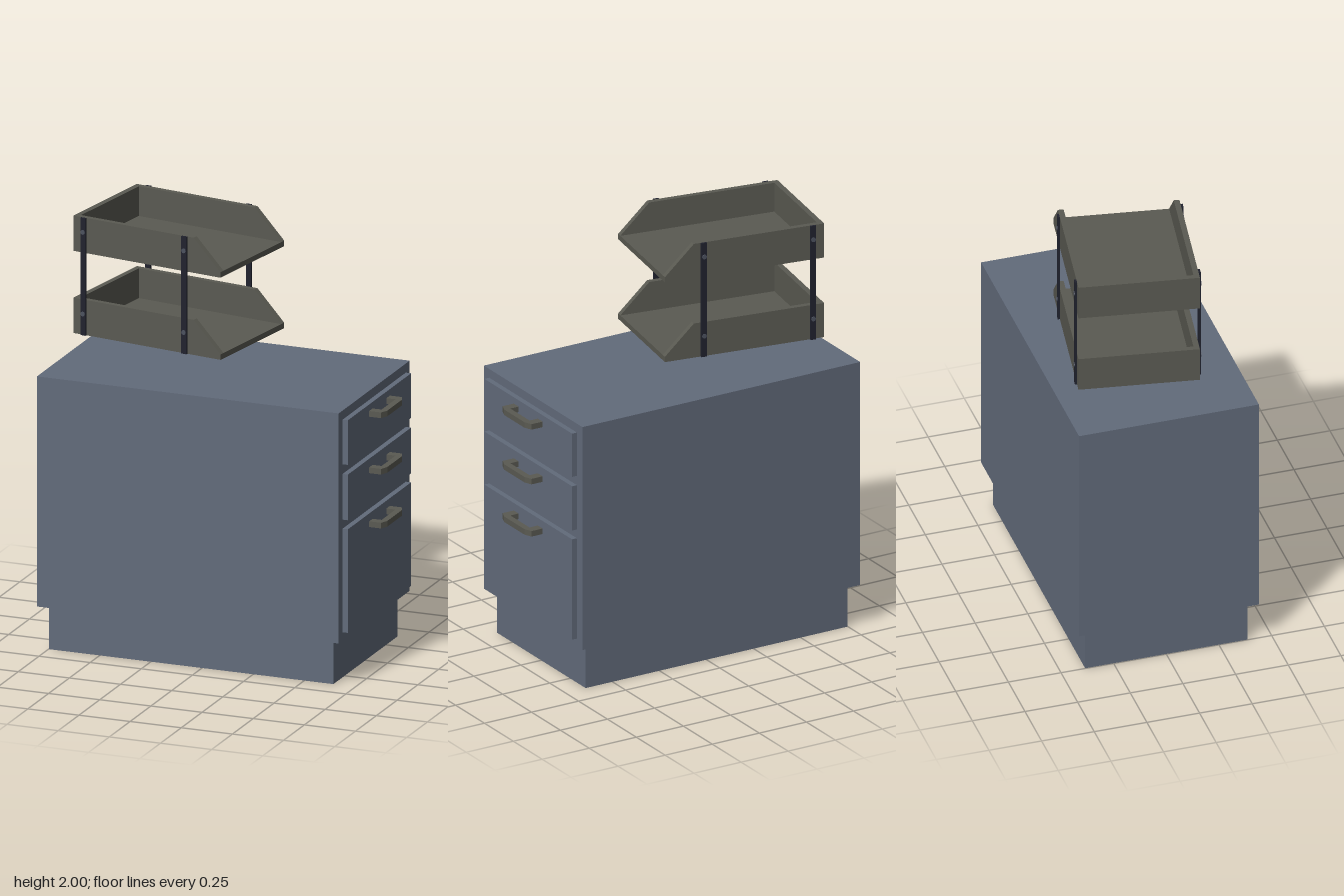
import * as THREE from 'three';

const mat = (name, color) => {
  const m = new THREE.MeshStandardMaterial({ color });
  m.name = name;
  return m;
};

export function createModel() {
  const steel = mat('blue grey steel', 0x626b7b);
  const olive = mat('olive grey', 0x5a5a52);
  const dark = mat('dark post', 0x20222e);
  const screwGrey = mat('screw grey', 0x4c515e);

  const model = new THREE.Group();
  model.name = 'cabinetWithTrays';

  const add = (parent, name, geometry, material) => {
    const mesh = new THREE.Mesh(geometry, material);
    mesh.name = name;
    parent.add(mesh);
    return mesh;
  };
  // Box given by its limits on each axis
  const box = (parent, name, material, [x0, x1], [y0, y1], [z0, z1]) => {
    const mesh = add(parent, name, new THREE.BoxGeometry(x1 - x0, y1 - y0, z1 - z0), material);
    mesh.position.set((x0 + x1) / 2, (y0 + y1) / 2, (z0 + z1) / 2);
    return mesh;
  };
  const extrude = (points, depth) => new THREE.ExtrudeGeometry(
    new THREE.Shape(points.map(([x, y]) => new THREE.Vector2(x, y))),
    { depth, bevelEnabled: false });

  // Cabinet and recessed plinth
  box(model, 'plinth', steel, [-0.748, 0.642], [0, 0.21], [-0.385, 0.385]);
  box(model, 'cabinetBody', steel, [-0.79, 0.685], [0.21, 1.303], [-0.427, 0.427]);

  // Drawer fronts, each with a chamfered bow handle
  const handleGeometry = extrude([
    [0.708, -0.125], [0.77, -0.125], [0.785, -0.088], [0.785, 0.088], [0.77, 0.125],
    [0.708, 0.125], [0.708, 0.083], [0.755, 0.083], [0.755, -0.083], [0.708, -0.083],
  ], 0.027).rotateX(-Math.PI / 2);
  [[1.048, 1.26, 1.202], [0.785, 1.002, 0.934], [0.25, 0.742, 0.678]].forEach(([y0, y1, handleY]) => {
    box(model, 'drawerFront', steel, [0.684, 0.711], [y0, y1], [-0.38, 0.38]);
    add(model, 'drawerHandle', handleGeometry, olive).position.y = handleY;
  });

  // Two-tier letter tray, turned on the cabinet
  const trays = new THREE.Group();
  trays.name = 'letterTrays';
  trays.position.set(-0.2875, 0, -0.0425);
  trays.rotation.y = -0.159;
  model.add(trays);

  const L = 0.39, W = 0.278, wall = 0.026, height = 0.167, floor = 0.026;
  const sideGeometry = extrude(
    [[-L, 0], [L, 0], [L, floor], [L - 0.142, height], [-L, height]], wall);
  [1.443, 1.833].forEach((y) => {
    const tray = new THREE.Group();
    tray.name = 'tray';
    tray.position.y = y;
    trays.add(tray);
    box(tray, 'trayFloor', olive, [-L + wall, L], [0, floor], [-W + wall, W - wall]);
    box(tray, 'trayBack', olive, [-L, -L + wall], [0, height], [-W + wall, W - wall]);
    add(tray, 'traySide', sideGeometry, olive).position.z = W - wall;
    add(tray, 'traySide', sideGeometry, olive).position.z = -W;
  });

  // Flat posts joining the trays, held by round screws
  const screwGeometry = new THREE.CylinderGeometry(0.011, 0.011, 0.005, 12).rotateX(Math.PI / 2);
  for (const side of [-1, 1]) {
    for (const x of [-0.333, 0.201]) {
      const post = add(trays, 'post', new THREE.BoxGeometry(0.027, 0.557, 0.01), dark);
      post.position.set(x, 1.7215, side * (W + 0.005));
      for (const y of [1.545, 1.933]) {
        add(trays, 'screw', screwGeometry, screwGrey).position.set(x, y, side * (W + 0.0115));
      }
    }
  }
  return model;
}
